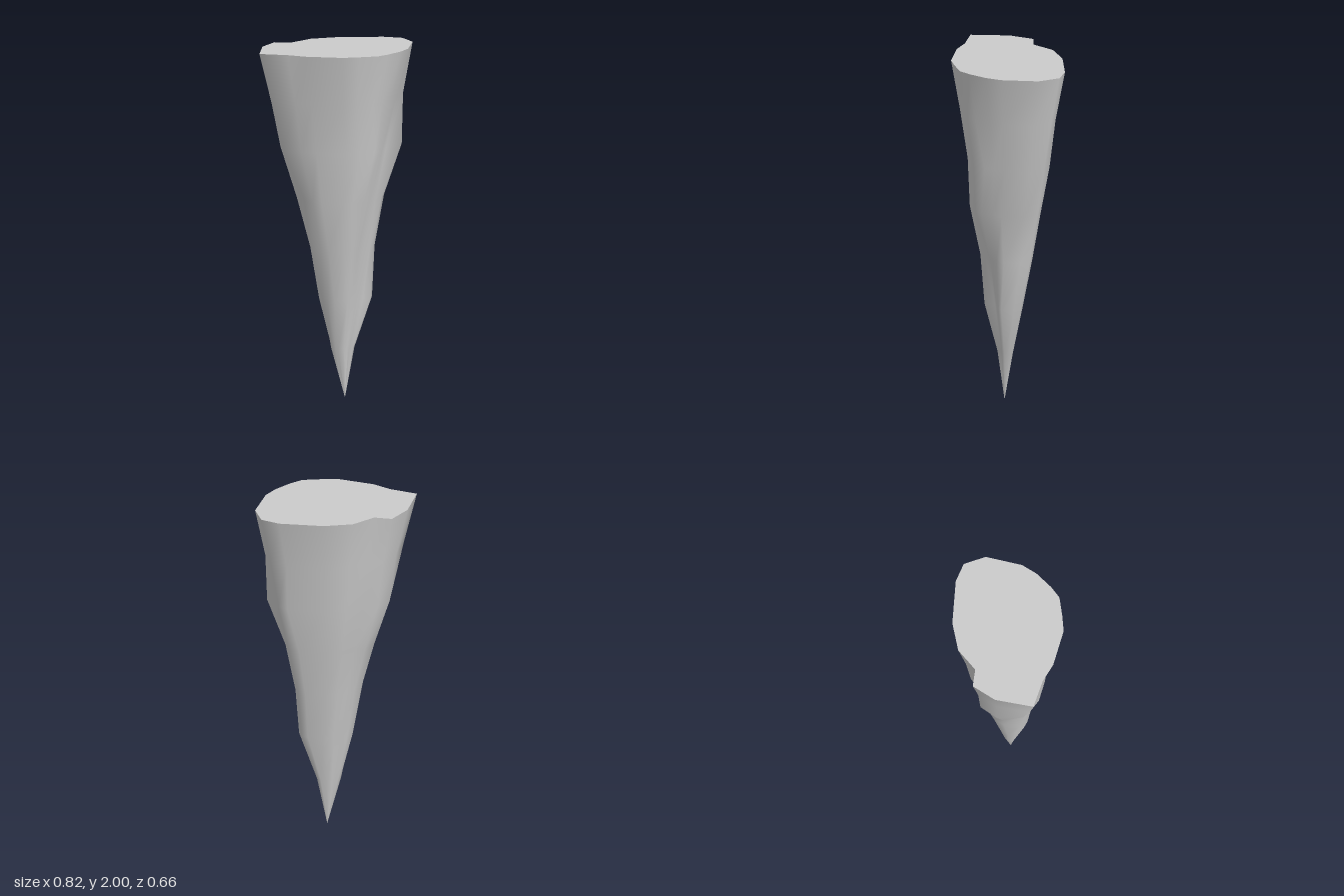
import * as THREE from 'three';

// Top outline as [x, z], running left -> front -> right -> back
const OUTLINE = [
  [-0.41, 0.05], [-0.4, 0.27], [-0.24, 0.285], [-0.13, 0.32], [0.08, 0.33], [0.17, 0.3],
  [0.27, 0.26], [0.32, 0.2], [0.38, 0.1], [0.41, 0.01], [0.41, -0.2], [0.34, -0.31],
  [0.23, -0.33], [-0.02, -0.29], [-0.17, -0.22], [-0.26, -0.1], [-0.36, -0.09],
];

// Extents of each evenly spaced ring, from the top down: [xMin, xMax, zMin, zMax]
const RINGS = [
  [-0.41, 0.41, -0.33, 0.33],
  [-0.345, 0.36, -0.275, 0.28],
  [-0.31, 0.355, -0.24, 0.235],
  [-0.215, 0.26, -0.185, 0.225],
  [-0.14, 0.21, -0.135, 0.165],
  [-0.09, 0.2, -0.08, 0.14],
  [-0.02, 0.105, -0.02, 0.07],
  [0.055, 0.055, 0.03, 0.03],
];

// Local dents that carve the grooves: 'ring,point': [dx, dz]
const DENTS = {
  '1,8': [-0.02, 0], '1,9': [-0.02, 0],
  '2,1': [0.03, -0.01], '2,7': [-0.02, -0.02], '2,8': [-0.06, 0], '2,9': [-0.07, 0], '2,11': [-0.03, 0.01],
  '3,1': [0.05, -0.04], '3,2': [0.01, -0.01], '3,8': [-0.01, 0],
  '4,1': [0.01, -0.01], '4,5': [0, -0.02], '4,6': [-0.01, -0.03], '4,7': [-0.01, -0.02],
  '5,1': [0.02, -0.03], '5,5': [-0.02, -0.05], '5,6': [-0.03, -0.05], '5,7': [-0.03, -0.04],
  '5,8': [-0.03, -0.01], '6,5': [0, -0.02], '6,6': [-0.01, -0.02], '6,7': [-0.01, -0.01],
};

function ringPoint(i, j) {
  const [x0, x1, z0, z1] = RINGS[i];
  const [dx, dz] = DENTS[`${i},${j}`] ?? [0, 0];
  return [
    x0 + (x1 - x0) * (OUTLINE[j][0] + 0.41) / 0.82 + dx,
    2 - (2 * i) / (RINGS.length - 1),
    z0 + (z1 - z0) * (OUTLINE[j][1] + 0.33) / 0.66 + dz,
  ];
}

export function createModel() {
  const group = new THREE.Group();
  group.name = 'rockSpike';
  const material = new THREE.MeshStandardMaterial({ color: 0xcccccc });

  // Tapering sides: rings joined with shared, smooth vertices
  const n = OUTLINE.length;
  const positions = [];
  const index = [];
  for (let i = 0; i < RINGS.length; i++) {
    for (let j = 0; j < n; j++) {
      positions.push(...ringPoint(i, j));
      if (i === RINGS.length - 1) continue;
      const a = i * n + j, b = i * n + (j + 1) % n;
      index.push(a, a + n, b);
      if (i < RINGS.length - 2) index.push(b, a + n, b + n);
    }
  }
  const side = new THREE.BufferGeometry();
  side.setAttribute('position', new THREE.Float32BufferAttribute(positions, 3));
  side.setIndex(index);
  side.computeVertexNormals();
  const sides = new THREE.Mesh(side, material);
  sides.name = 'spikeSides';

  // Flat top
  const shape = new THREE.Shape(OUTLINE.map(([x, z]) => new THREE.Vector2(x, -z)));
  const top = new THREE.Mesh(new THREE.ShapeGeometry(shape).rotateX(-Math.PI / 2).translate(0, 2, 0), material);
  top.name = 'flatTop';

  group.add(sides, top);
  return group;
}
